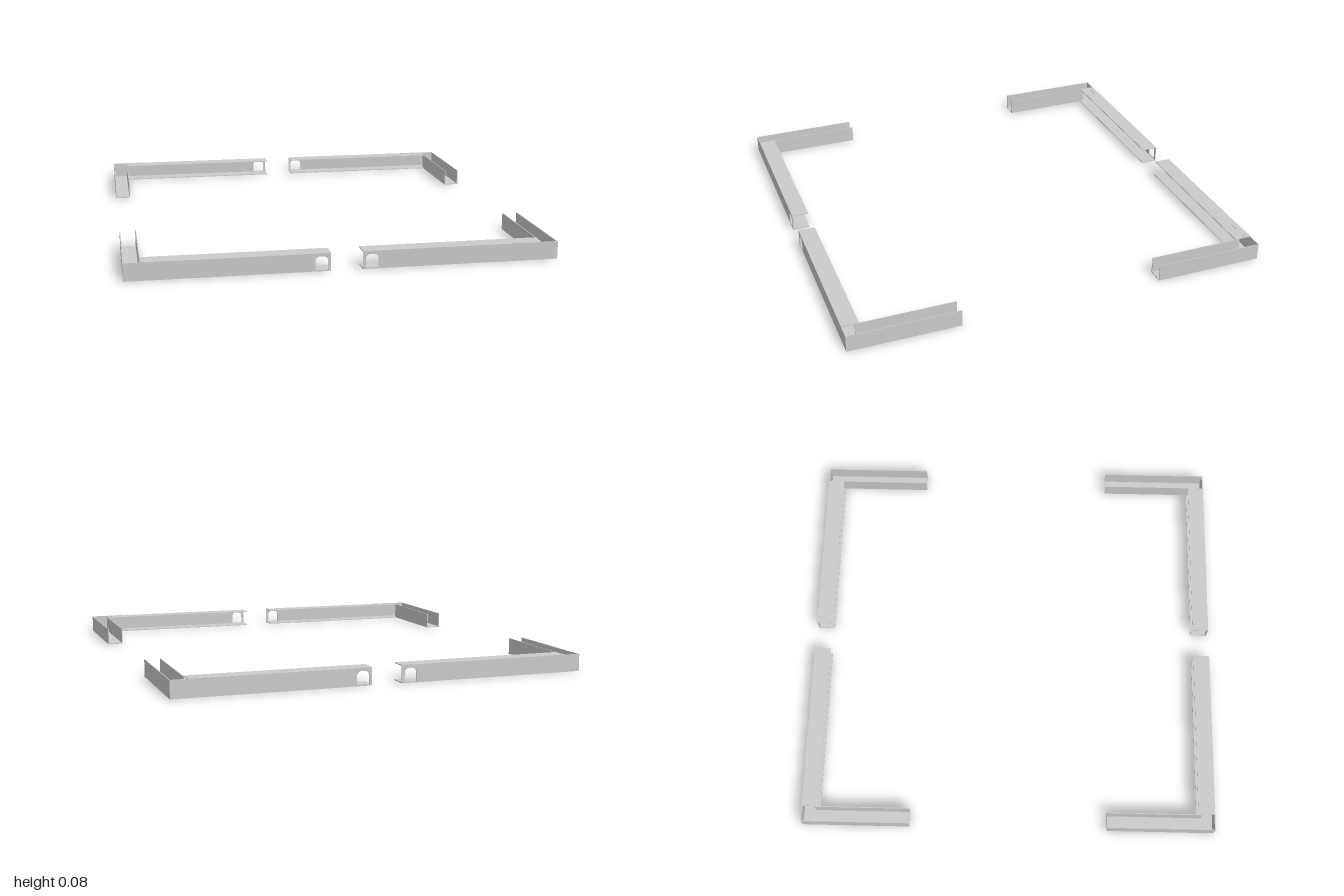
import * as THREE from 'three';

const T = 0.004, H = 0.08;            // sheet thickness, rail height
const X0 = 0.07, X1 = 0.88, X2 = 0.955; // rail end, arm inner wall, arm outer wall
const Z0 = 0.48, Z1 = 0.92, Z2 = 1;   // arm end, flange lip, outer face

const material = new THREE.MeshStandardMaterial({ color: 0xcccccc, flatShading: true });

// Box between two corners, mirrored into the quadrant (sx, sz)
function plate(group, name, sx, sz, [xa, xb], [ya, yb], [za, zb]) {
  const mesh = new THREE.Mesh(new THREE.BoxGeometry(xb - xa, yb - ya, zb - za), material);
  mesh.position.set(sx * (xa + xb) / 2, (ya + yb) / 2, sz * (za + zb) / 2);
  mesh.name = name;
  group.add(mesh);
}

// Upright web with an arched opening next to the free end
function web(sx, sz) {
  const shape = new THREE.Shape();
  shape.moveTo(sx * X0, 0);
  shape.lineTo(sx * X2, 0);
  shape.lineTo(sx * X2, H);
  shape.lineTo(sx * X0, H);
  shape.closePath();
  const hole = new THREE.Path();
  const arch = [[0.083, 0.006], [0.083, 0.05], [0.089, 0.06], [0.1, 0.066], [0.122, 0.066],
    [0.133, 0.06], [0.139, 0.05], [0.139, 0.006]];
  hole.setFromPoints(arch.map(([x, y]) => new THREE.Vector2(sx * x, y)));
  hole.closePath();
  shape.holes.push(hole);
  const geometry = new THREE.ExtrudeGeometry(shape, { depth: T, bevelEnabled: false });
  const mesh = new THREE.Mesh(geometry, material);
  mesh.position.z = sz > 0 ? Z2 - T : -Z2;
  mesh.name = 'railWeb';
  return mesh;
}

function corner(sx, sz) {
  const group = new THREE.Group();
  group.name = (sz > 0 ? 'front' : 'back') + (sx > 0 ? 'Left' : 'Right') + 'Corner';

  // Long rail: channel open towards the middle
  group.add(web(sx, sz));
  plate(group, 'railTopFlange', sx, sz, [X0, X1], [H - T, H], [Z1, Z2 - T]);
  plate(group, 'railBottomFlange', sx, sz, [X0, X1], [0, T], [Z1, Z2 - T]);

  // Short arm: channel open upwards
  plate(group, 'armFloor', sx, sz, [X1, X2], [0, T], [Z0, Z2 - T]);
  plate(group, 'armOuterWall', sx, sz, [X2 - T, X2], [T, H - 0.001], [Z0, Z2 - T]);
  plate(group, 'armInnerWall', sx, sz, [X1, X1 + T], [T, H - 0.001], [Z0, Z1 + 0.02]);

  // Lap tab joining the rail to the arm
  plate(group, 'cornerTab', sx, sz, [0.755, X1], [H - T, H + 0.001], [0.97, Z2]);
  return group;
}

export function createModel() {
  const model = new THREE.Group();
  model.name = 'cornerRails';
  for (const sx of [-1, 1]) for (const sz of [-1, 1]) model.add(corner(sx, sz));
  return model;
}
